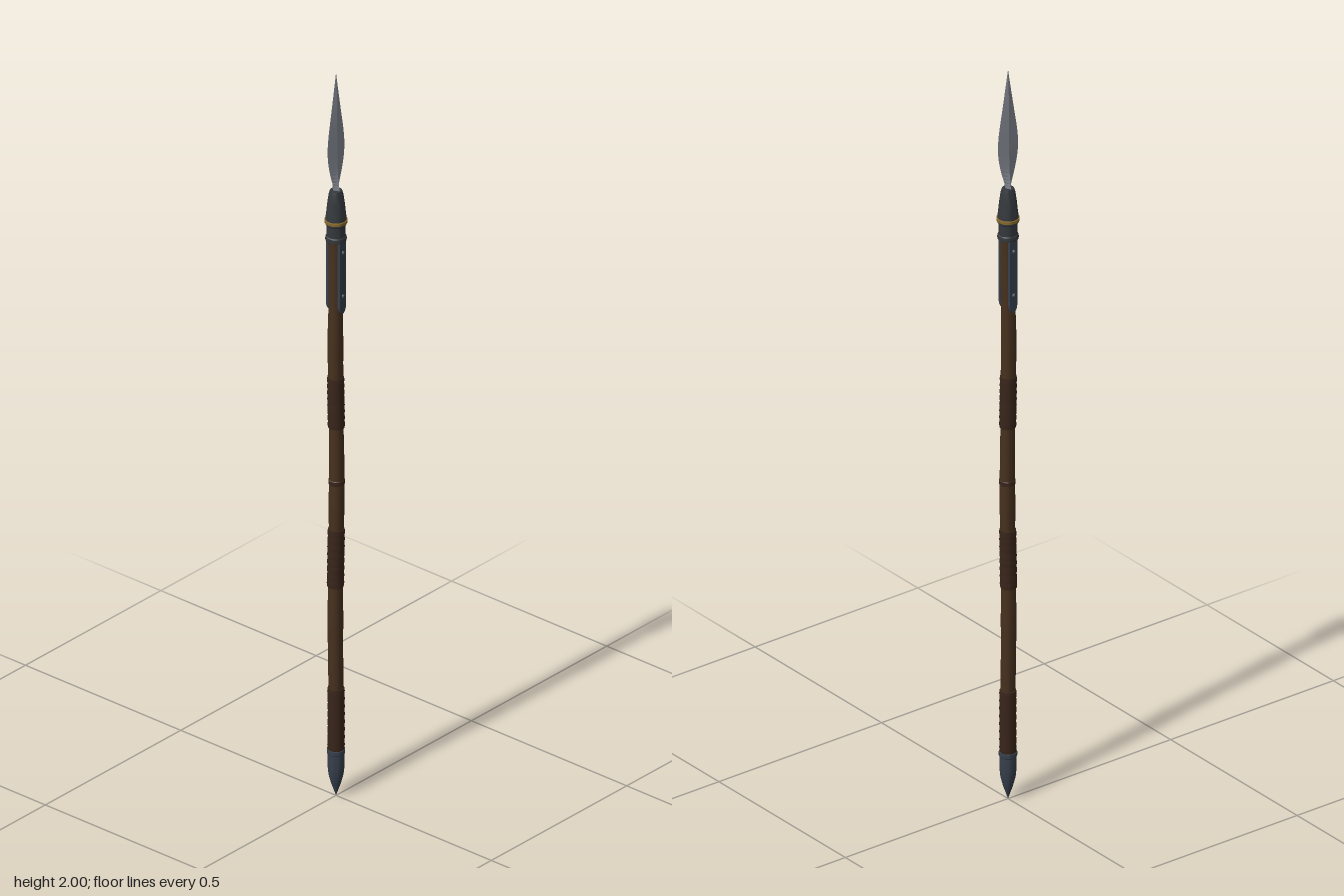
import * as THREE from 'three';
import { toCreasedNormals } from 'three/addons/utils/BufferGeometryUtils.js';

const mat = (name, color) => {
  const m = new THREE.MeshStandardMaterial({ color });
  m.name = name;
  return m;
};

// Surface of revolution from [radius, height] pairs, bottom to top
function turned(profile, segments = 20, crease = 0.6) {
  const pts = profile.map(([r, y]) => new THREE.Vector2(r, y));
  return toCreasedNormals(new THREE.LatheGeometry(pts, segments), crease);
}

// Diamond-section blade lofted through smooth width and thickness curves
function bladeGeometry() {
  const stations = [ // height, half width, half thickness
    [1.67, 0.007, 0.012], [1.69, 0.011, 0.010], [1.72, 0.020, 0.0065], [1.755, 0.028, 0.005],
    [1.79, 0.031, 0.0045], [1.83, 0.028, 0.004], [1.89, 0.018, 0.0035], [1.95, 0.008, 0.0025], [2, 0, 0],
  ];
  const curve = new THREE.CatmullRomCurve3(stations.map(([y, w, t]) => new THREE.Vector3(w, y, t)));
  const steps = 24, pos = [], idx = [];
  for (let i = 0; i <= steps; i++) {
    const { x: w, y, z: t } = curve.getPoint(i / steps);
    pos.push(w, y, 0, 0, y, -t, -w, y, 0, 0, y, t);
    if (i === steps) break;
    for (let j = 0; j < 4; j++) {
      const a = i * 4 + j, b = i * 4 + (j + 1) % 4;
      idx.push(a, b, a + 4, b, b + 4, a + 4);
    }
  }
  const g = new THREE.BufferGeometry();
  g.setAttribute('position', new THREE.Float32BufferAttribute(pos, 3));
  g.setIndex(idx);
  return toCreasedNormals(g, 0.12);
}

export function createModel() {
  const steel = mat('bladeSteel', 0x858a93);
  const iron = mat('darkIron', 0x34383c);
  const blued = mat('bluedSteel', 0x37404d);
  const brass = mat('brass', 0x86692a);
  const wood = mat('wood', 0x46301e);
  const leather = mat('leather', 0x38251a);
  const rivetSteel = mat('rivetSteel', 0x69717c);

  const group = new THREE.Group();
  group.name = 'spear';
  const add = (name, geometry, material, parent = group) => {
    const mesh = new THREE.Mesh(geometry, material);
    mesh.name = name;
    parent.add(mesh);
    return mesh;
  };

  // Slight sideways drift of the hand-hewn shaft, fading at both ends
  const bend = (g) => {
    const p = g.attributes.position;
    for (let i = 0; i < p.count; i++) {
      const y = p.getY(i);
      const fade = Math.min(1, Math.max(0, (y - 0.12) * 5), Math.max(0, (1.5 - y) * 5));
      p.setX(i, p.getX(i) + 0.0012 * fade * Math.sin(y * 9));
      p.setZ(i, p.getZ(i) + 0.0012 * fade * Math.cos(y * 7));
    }
    return g;
  };

  // Wooden shaft with a gently uneven radius
  const shaft = [];
  for (let i = 0; i <= 40; i++) {
    const y = 0.1 + 1.46 * i / 40;
    shaft.push([0.0185 + 0.0007 * Math.sin(y * 17) + 0.0004 * Math.sin(y * 41), y]);
  }
  add('shaft', bend(turned(shaft, 16)), wood);

  // Leather grips, each wound in overlapping turns
  for (const [y0, y1] of [[0.13, 0.3], [0.58, 0.74], [1.02, 1.16]]) {
    const turns = 8, h = (y1 - y0) / turns, profile = [[0.017, y0]];
    for (let i = 0; i < turns; i++) {
      const y = y0 + i * h;
      profile.push([0.0203, y + h * 0.04], [0.0215, y + h * 0.5], [0.0203, y + h * 0.96]);
    }
    profile.push([0.017, y1]);
    add('grip', bend(turned(profile, 16)), leather);
  }
  add('cord', bend(turned([[0.017, 0.862], [0.0203, 0.865], [0.0203, 0.875], [0.017, 0.878]], 16)), leather);

  // Pointed butt cap with a rim
  add('buttCap', turned([[0, 0], [0.004, 0.012], [0.012, 0.035], [0.0185, 0.06], [0.021, 0.085],
    [0.021, 0.118], [0.0225, 0.12], [0.0225, 0.13], [0.017, 0.131]]), blued);

  // Socket holding the blade
  add('socket', turned([[0.019, 1.537], [0.0255, 1.538], [0.0265, 1.543], [0.0255, 1.549],
    [0.0235, 1.551], [0.0235, 1.58], [0.026, 1.583], [0.026, 1.6], [0.0245, 1.61],
    [0.0215, 1.64], [0.018, 1.665], [0.015, 1.675], [0, 1.677]], 24), iron);

  // Brass collar
  add('collar', turned([[0.024, 1.586], [0.0285, 1.588], [0.0285, 1.595], [0.024, 1.597]], 24), brass);

  // Riveted straps running down the front and back of the shaft
  const outline = new THREE.Shape();
  outline.moveTo(-0.012, 1.55);
  outline.lineTo(-0.011, 1.36);
  outline.quadraticCurveTo(-0.01, 1.345, 0, 1.34);
  outline.quadraticCurveTo(0.01, 1.345, 0.011, 1.36);
  outline.lineTo(0.012, 1.55);
  const strapGeometry = new THREE.ExtrudeGeometry(outline, { depth: 0.008, bevelEnabled: false, curveSegments: 6 });
  strapGeometry.translate(0, 0, 0.0145);
  for (const turn of [0, Math.PI]) {
    const strap = new THREE.Group();
    strap.name = turn ? 'backStrap' : 'frontStrap';
    strap.rotation.y = turn;
    group.add(strap);
    add('strapPlate', strapGeometry, blued, strap);
    for (const y of [1.39, 1.51]) {
      const rivet = add('rivet', new THREE.SphereGeometry(0.0045, 10, 8), rivetSteel, strap);
      rivet.position.set(0, y, 0.0225);
      rivet.scale.z = 0.6;
    }
  }

  // Leaf-shaped blade
  add('blade', bladeGeometry(), steel);
  return group;
}
